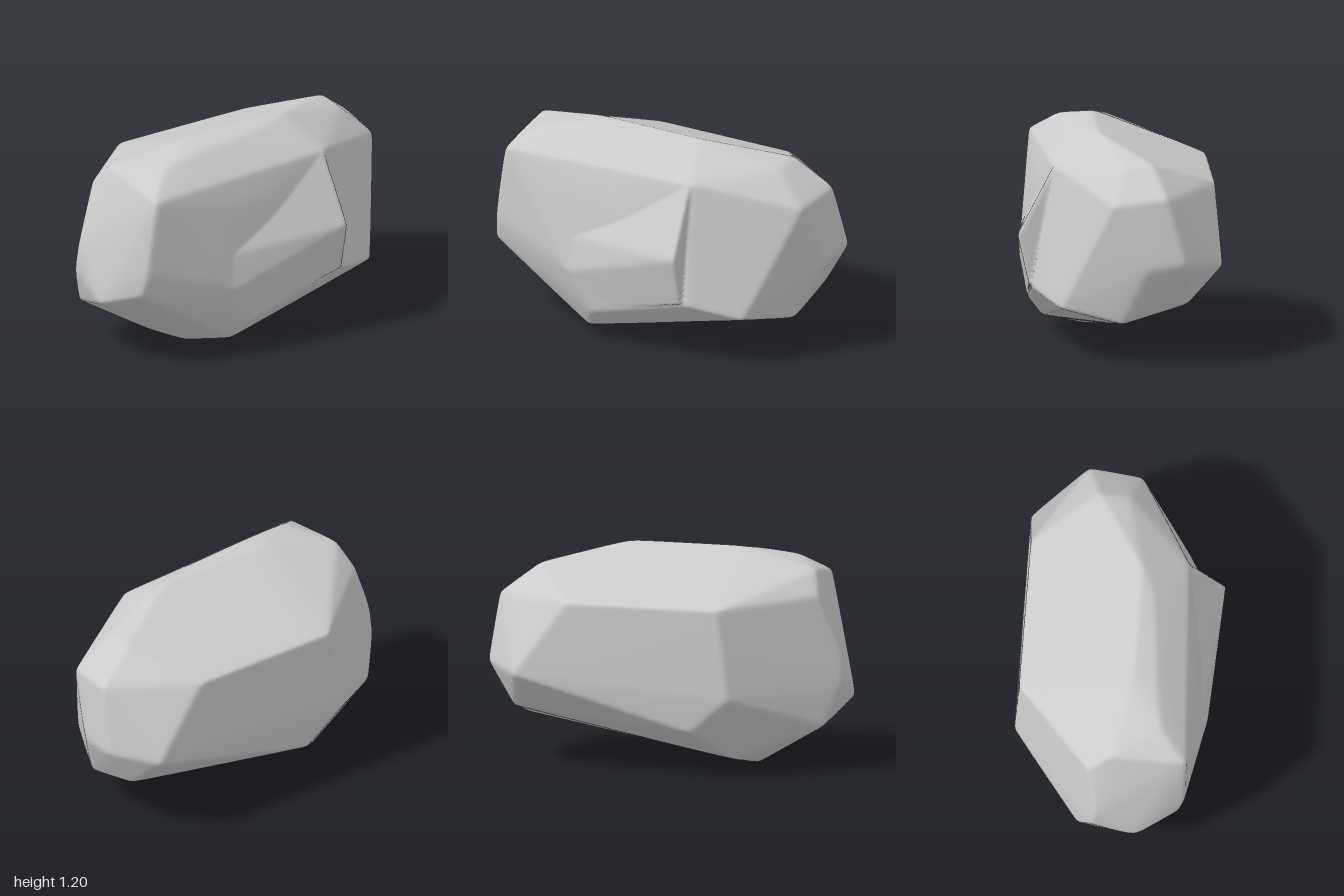
import * as THREE from 'three';
import { ConvexGeometry } from 'three/addons/geometries/ConvexGeometry.js';
import { mergeVertices } from 'three/addons/utils/BufferGeometryUtils.js';

const CENTER = new THREE.Vector3(0, 0.6, 0);
const SHARPNESS = 150;

// Corners of the main mass, grouped by region
const BODY = [
  // top plate and ridge
  [-0.57, 0.955, 0.33], [-0.485, 0.955, -0.53], [-0.1, 1.105, -0.74], [0.06, 1.08, -0.74],
  [0.13, 1.204, -0.27], [0.19, 1.185, -0.1], [0.06, 1.204, 0.38], [0.2, 1.175, 0.42], [0.21, 1.145, 0.66],
  // front
  [-0.07, 1.11, 0.81], [-0.2, 0.98, 0.84], [0.35, 1.03, 0.83], [0.34, 0.6, 0.89],
  [-0.16, 0.66, 0.975], [-0.19, 0.5, 0.975], [0.07, 0.38, 1.01], [-0.26, 0.26, 0.88], [0.31, 0.47, 0.9],
  // flank on the +x side
  [0.39, 1.035, -0.35], [0.42, 0.87, 0.21], [0.52, 0.36, -0.39], [0.48, 0.42, 0.36], [0.45, 0.19, 0.24],
  // back
  [0.4, 0.29, -0.68], [0.14, 0.9, -0.915], [-0.15, 0.94, -0.965],
  [-0.25, 0.57, -1.01], [-0.03, 0.55, -0.985], [-0.485, 0.54, -0.825],
  // flank on the -x side
  [-0.598, 0.45, 0.4], [-0.555, 0.255, 0.18],
  // underside
  [0.08, -0.005, 0.4], [0.36, 0.07, 0.3], [-0.34, 0.07, 0.4], [-0.14, 0.02, 0.5],
  [0.08, 0.22, -0.84], [-0.28, 0.33, -0.86],
];

// Corners of the broad swell that rises to a point on the +x flank, rooted at the core
const SWELL = [
  [0.595, 0.65, -0.35], [0.39, 1.035, -0.35], [0.53, 0.37, -0.36],
  [0.34, 0.6, 0.87], [0.48, 0.42, 0.36], [0.45, 0.21, 0.24],
  [-0.1, 0.5, 0.1], [-0.1, 0.75, 0.1], [-0.1, 0.6, -0.1],
];

// Planes of the facets, as normal / distance from the centre
function facetPlanes(corners) {
  const pos = new ConvexGeometry(corners.map(c => new THREE.Vector3(...c).sub(CENTER))).getAttribute('position');
  const planes = [];
  const tri = new THREE.Triangle();
  for (let i = 0; i < pos.count; i += 3) {
    tri.setFromAttributeAndIndices(pos, i, i + 1, i + 2);
    const n = tri.getNormal(new THREE.Vector3());
    const d = n.dot(tri.a);
    if (d > 0.001) planes.push(n.divideScalar(d));
  }
  return planes;
}

// How far the surface lies along p, with softly blended edges
function surfaceReach(planes, p) {
  const hits = planes.map(n => n.dot(p));
  const top = Math.max(...hits);
  const sum = hits.reduce((s, h) => s + Math.pow(Math.max(h, 0) / top, SHARPNESS), 0);
  return 1 / (top * Math.pow(sum, 1 / SHARPNESS));
}

// Dense ball pushed out to the facets of the body and the swell
function boulderGeometry() {
  const hulls = [BODY, SWELL].map(facetPlanes);
  let geo = new THREE.IcosahedronGeometry(1, 64);
  geo.deleteAttribute('normal');
  geo.deleteAttribute('uv');
  geo = mergeVertices(geo, 1e-5);
  geo.scale(0.59, 0.6, 1);
  const pos = geo.getAttribute('position');
  const p = new THREE.Vector3();
  for (let i = 0; i < pos.count; i++) {
    p.fromBufferAttribute(pos, i);
    p.multiplyScalar(Math.max(...hulls.map(planes => surfaceReach(planes, p)))).add(CENTER);
    pos.setXYZ(i, p.x, p.y, p.z);
  }
  geo.computeVertexNormals();
  return geo;
}

export function createModel() {
  const group = new THREE.Group();
  group.name = 'rock';
  const boulder = new THREE.Mesh(boulderGeometry(), new THREE.MeshStandardMaterial({ color: 0xcccccc }));
  boulder.name = 'boulder';
  group.add(boulder);
  return group;
}
